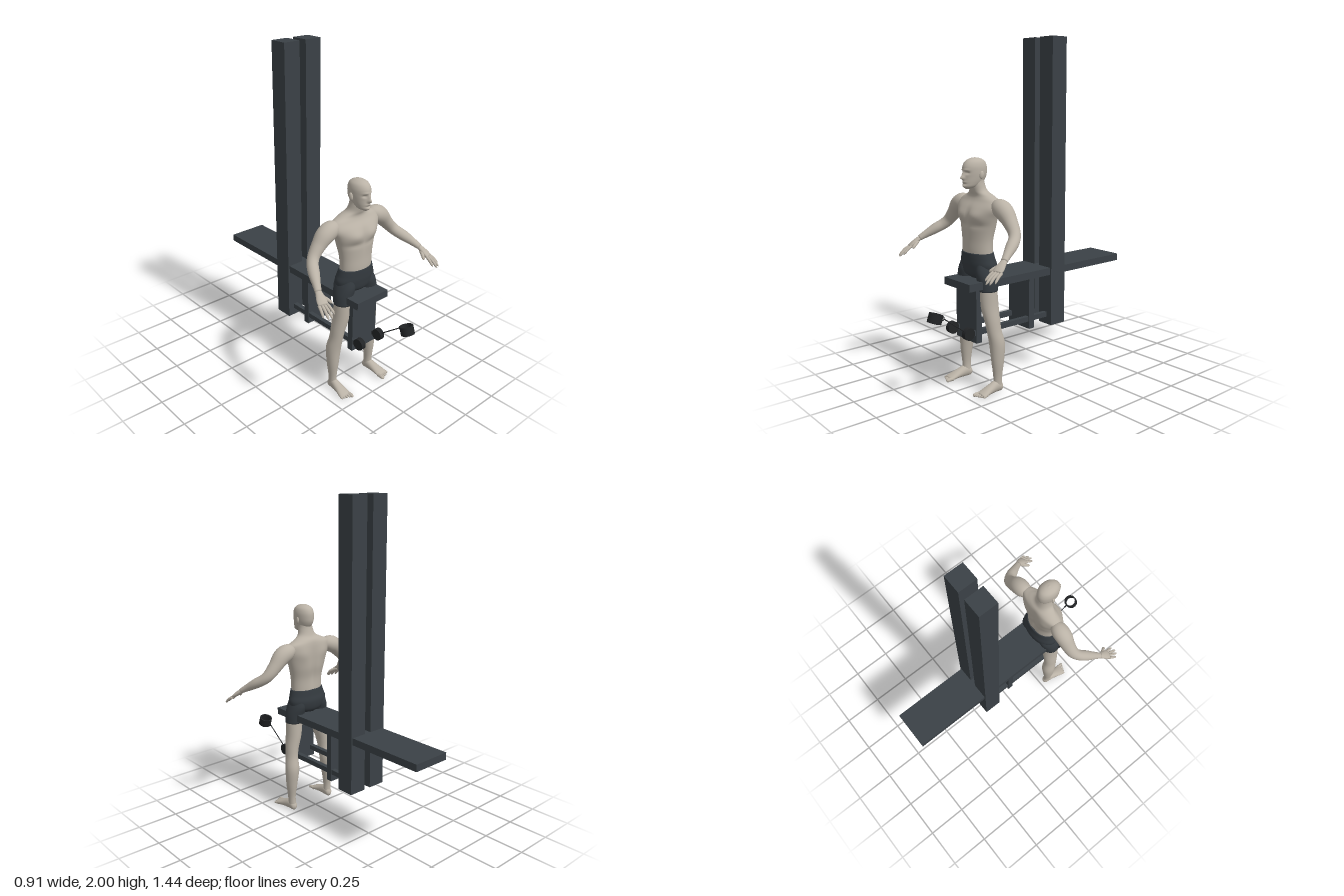
import * as THREE from 'three';

const V = (x, y, z) => new THREE.Vector3(x, y, z);
const mat = (name, color, side = THREE.FrontSide) => {
  const m = new THREE.MeshStandardMaterial({ color, side });
  m.name = name;
  return m;
};

// Smooth closed loft through rows of [x, y, z, radiusU, radiusV].
// ref is the rough direction of U, dir an optional fixed axis, tweak(p) reshapes each point.
function loft(rows, { ref = V(1, 0, 0), dir = null, seg = 24, steps = 24, tweak = null } = {}) {
  const path = new THREE.CatmullRomCurve3(rows.map(r => V(r[0], r[1], r[2])), false, 'catmullrom', 0.5);
  const radii = new THREE.CatmullRomCurve3(rows.map(r => V(r[3], r[4], 0)), false, 'catmullrom', 0.5);
  const pos = [], index = [];
  const put = p => { if (tweak) tweak(p); pos.push(p.x, p.y, p.z); };
  for (let i = 0; i <= steps; i++) {
    const t = i / steps, c = path.getPoint(t), r = radii.getPoint(t);
    const d = dir || path.getTangent(t);
    const u = ref.clone().addScaledVector(d, -ref.dot(d)).normalize();
    const v = u.clone().cross(d);
    for (let j = 0; j < seg; j++) {
      const a = j / seg * Math.PI * 2;
      put(c.clone().addScaledVector(u, r.x * Math.cos(a)).addScaledVector(v, r.y * Math.sin(a)));
      if (i < steps) {
        const k = i * seg, n = (j + 1) % seg;
        index.push(k + j, k + seg + j, k + n, k + n, k + seg + j, k + seg + n);
      }
    }
  }
  put(path.getPoint(0));
  put(path.getPoint(1));
  const e0 = (steps + 1) * seg, top = steps * seg;
  for (let j = 0; j < seg; j++) {
    const n = (j + 1) % seg;
    index.push(e0, j, n, e0 + 1, top + n, top + j);
  }
  const g = new THREE.BufferGeometry();
  g.setAttribute('position', new THREE.Float32BufferAttribute(pos, 3));
  g.setIndex(index);
  g.computeVertexNormals();
  return g;
}

const bump = (p, x, y, sx, sy) =>
  Math.exp(-(((Math.abs(p.x) - x) / sx) ** 2) - ((p.y - y) / sy) ** 2);

// Chest, belly and spine relief
function torsoRelief(p) {
  if (p.z > 0.33) {
    p.z += 0.014 * bump(p, 0.065, 1.01, 0.05, 0.035) - 0.006 * bump(p, 0, 0.99, 0.012, 0.07)
      - 0.005 * bump(p, 0.06, 0.955, 0.06, 0.015);
  } else if (p.z < 0.31) {
    p.z += 0.012 * bump(p, 0, 0.92, 0.02, 0.13) - 0.008 * bump(p, 0.08, 1.03, 0.04, 0.05);
  }
}

// Nose, eye sockets, brow, lips and chin
function faceRelief(p) {
  if (p.z < 0.36) return;
  p.z += 0.022 * bump(p, 0, 1.217, 0.009, 0.011) + 0.011 * bump(p, 0, 1.236, 0.007, 0.016)
    - 0.009 * bump(p, 0.021, 1.245, 0.012, 0.008) + 0.004 * bump(p, 0.018, 1.261, 0.016, 0.006)
    + 0.005 * bump(p, 0, 1.195, 0.015, 0.005) - 0.004 * bump(p, 0, 1.183, 0.016, 0.004)
    + 0.006 * bump(p, 0, 1.17, 0.016, 0.008);
}

export function createModel() {
  const root = new THREE.Group();
  const skin = mat('skin', 0xbab2a6);
  const cloth = mat('dark cloth', 0x343a3f);
  const beam = mat('dark beam', 0x3b4146);
  const iron = mat('black iron', 0x222426);
  const up = V(0, 1, 0);

  const add = (parent, name, geo, material, x = 0, y = 0, z = 0) => {
    const m = new THREE.Mesh(geo, material);
    m.name = name;
    m.position.set(x, y, z);
    parent.add(m);
    return m;
  };
  const box = (name, x0, x1, y0, y1, z0, z1) => add(apparatus, name,
    new THREE.BoxGeometry(x1 - x0, y1 - y0, z1 - z0), beam, (x0 + x1) / 2, (y0 + y1) / 2, (z0 + z1) / 2);

  // Bench, boards, posts and rails
  const apparatus = new THREE.Group();
  apparatus.name = 'apparatus';
  root.add(apparatus);
  box('benchPlank', -0.12, 0.12, 0.602, 0.645, -0.72, 0.475);
  box('frontBoard', -0.095, 0.095, 0.29, 0.603, 0.375, 0.412);
  box('middleBoard', -0.095, 0.095, 0.29, 0.603, -0.015, 0.022);
  for (const s of [-1, 1]) {
    const side = s > 0 ? 'left' : 'right';
    const [a, b] = s > 0 ? [0.022, 0.13] : [-0.13, -0.022];
    box(side + 'Post', a, b, 0.29, 2, -0.232, -0.122);
    box(side + 'Rail', s * 0.077 - 0.014, s * 0.077 + 0.014, 0.335, 0.365, -0.13, 0.45);
    add(apparatus, side + 'RailWheel', new THREE.CylinderGeometry(0.035, 0.035, 0.03, 28).rotateZ(Math.PI / 2),
      iron, s * 0.077, 0.352, 0.455);
  }

  // Cable with its open cuff
  const restraint = new THREE.Group();
  restraint.name = 'cableAndCuff';
  root.add(restraint);
  add(restraint, 'cable', new THREE.TubeGeometry(
    new THREE.LineCurve3(V(0.077, 0.355, 0.46), V(0.077, 0.474, 0.617)), 1, 0.003, 8), iron);
  add(restraint, 'cableEye', new THREE.TorusGeometry(0.011, 0.003, 8, 20).rotateY(Math.PI / 2), iron, 0.077, 0.478, 0.626);
  const ring = new THREE.Shape().absarc(0, 0, 0.04, 0, Math.PI * 2);
  ring.holes.push(new THREE.Path().absarc(0, 0, 0.032, 0, Math.PI * 2, true));
  const cuff = add(restraint, 'cuff', new THREE.ExtrudeGeometry(ring,
    { depth: 0.05, bevelEnabled: false, curveSegments: 20 }).translate(0, 0, -0.025).rotateX(-Math.PI / 2),
  iron, 0.078, 0.488, 0.673);
  cuff.rotation.x = -0.33;

  // Figure
  const figure = new THREE.Group();
  figure.name = 'figure';
  root.add(figure);
  add(figure, 'torso', loft([
    [0, 0.74, 0.325, 0.105, 0.066], [0, 0.8, 0.328, 0.107, 0.07], [0, 0.87, 0.327, 0.112, 0.07],
    [0, 0.94, 0.322, 0.128, 0.077], [0, 1.0, 0.322, 0.148, 0.079], [0, 1.05, 0.316, 0.17, 0.072],
    [0, 1.09, 0.305, 0.157, 0.058], [0, 1.115, 0.305, 0.105, 0.051], [0, 1.14, 0.318, 0.06, 0.046],
    [0, 1.18, 0.33, 0.046, 0.045], [0, 1.22, 0.335, 0.044, 0.044],
  ], { dir: up, seg: 56, steps: 60, tweak: torsoRelief }), skin);
  add(figure, 'head', loft([
    [0, 1.155, 0.388, 0.012, 0.016], [0, 1.168, 0.372, 0.032, 0.045], [0, 1.19, 0.355, 0.043, 0.064],
    [0, 1.22, 0.345, 0.05, 0.073], [0, 1.25, 0.343, 0.053, 0.076], [0, 1.28, 0.343, 0.052, 0.074],
    [0, 1.305, 0.342, 0.043, 0.06], [0, 1.32, 0.342, 0.024, 0.035], [0, 1.326, 0.342, 0.003, 0.004],
  ], { dir: up, seg: 80, steps: 64, tweak: faceRelief }), skin);
  add(figure, 'shortsSeat', loft([
    [0, 0.642, 0.318, 0.04, 0.04], [0, 0.67, 0.32, 0.115, 0.07], [0, 0.72, 0.32, 0.134, 0.08],
    [0, 0.76, 0.325, 0.123, 0.077], [0, 0.795, 0.328, 0.112, 0.074],
  ], { dir: up, seg: 48, steps: 28 }), cloth);

  for (const s of [-1, 1]) {
    const side = s > 0 ? 'left' : 'right';
    const limb = (name, rows, material = skin, opt = {}) => add(figure, side + name,
      loft(rows.map(([x, ...r]) => [s * x, ...r]), opt), material);
    // Tapered digit from base a to tip b, bowed up by lift
    const digit = (name, a, b, r, lift) => {
      const at = (t, k) => [...[0, 1, 2].map(i => a[i] + (b[i] - a[i]) * t + (i === 1 ? lift * 4 * t * (1 - t) : 0)), r * k, r * k];
      limb(name, [at(0, 1), at(0.5, 0.95), at(0.85, 0.8), at(1, 0.15)], skin,
        { seg: 10, steps: 12, tweak: p => { p.y = Math.max(p.y, 0); } });
    };

    const ear = add(figure, side + 'Ear', new THREE.SphereGeometry(1, 16, 12), skin, s * 0.055, 1.232, 0.336);
    ear.scale.set(0.008, 0.022, 0.013);
    ear.rotation.set(-0.15, s * -0.35, 0);

    limb('ShortsLeg', [
      [0.097, 0.585, 0.333, 0.057, 0.057], [0.092, 0.64, 0.33, 0.058, 0.062],
      [0.08, 0.69, 0.325, 0.056, 0.07], [0.07, 0.74, 0.322, 0.045, 0.062],
    ], cloth, { dir: up, seg: 32 });

    // Leg, foot and toes
    limb('Leg', [
      [0.148, 0.025, 0.305, 0.023, 0.028], [0.15, 0.09, 0.307, 0.023, 0.027], [0.149, 0.18, 0.306, 0.034, 0.038],
      [0.143, 0.28, 0.305, 0.043, 0.046], [0.135, 0.36, 0.319, 0.038, 0.044], [0.126, 0.42, 0.325, 0.04, 0.047],
      [0.108, 0.5, 0.33, 0.047, 0.054], [0.097, 0.6, 0.333, 0.052, 0.054], [0.09, 0.66, 0.33, 0.05, 0.054],
    ], skin, { dir: up, seg: 28, steps: 48 });
    limb('Foot', [
      [0.148, 0.024, 0.272, 0.006, 0.008], [0.148, 0.027, 0.285, 0.021, 0.026], [0.149, 0.034, 0.32, 0.025, 0.034],
      [0.153, 0.026, 0.37, 0.03, 0.025], [0.157, 0.016, 0.415, 0.036, 0.016], [0.157, 0.012, 0.438, 0.033, 0.01],
    ], skin, { dir: V(0, 0, 1), tweak: p => { p.y = Math.max(p.y, 0); } });
    for (let i = 0; i < 5; i++) {
      digit('Toe' + (i + 1), [0.132 + i * 0.013, 0.012, 0.42 - i * 0.003],
        [0.13 + i * 0.0155, 0.008, 0.468 - i * 0.007], i ? 0.0075 : 0.011, 0.003);
    }

    // Arm, palm and fingers
    limb('Arm', [
      [0.12, 1.06, 0.305, 0.03, 0.03], [0.165, 1.058, 0.3, 0.05, 0.05], [0.212, 1.036, 0.3, 0.052, 0.052],
      [0.258, 0.988, 0.3, 0.041, 0.043], [0.3, 0.94, 0.308, 0.034, 0.036], [0.328, 0.908, 0.332, 0.033, 0.032],
      [0.355, 0.88, 0.375, 0.032, 0.03], [0.382, 0.848, 0.425, 0.023, 0.022], [0.4, 0.825, 0.46, 0.019, 0.016],
    ], skin, { ref: V(s, 0.3, -0.4), seg: 24, steps: 48 });
    limb('Palm', [
      [0.396, 0.83, 0.45, 0.016, 0.013], [0.404, 0.814, 0.474, 0.022, 0.014],
      [0.412, 0.795, 0.5, 0.029, 0.013], [0.418, 0.78, 0.52, 0.027, 0.009],
    ], skin, { ref: V(s * 0.95, -0.15, -0.2), seg: 20, steps: 14 });
    const fingers = [
      [[0.397, 0.787, 0.512], [0.391, 0.74, 0.576]], [[0.411, 0.782, 0.517], [0.415, 0.728, 0.59]],
      [[0.424, 0.778, 0.516], [0.436, 0.729, 0.582]], [[0.437, 0.777, 0.507], [0.453, 0.735, 0.56]],
    ];
    fingers.forEach(([a, b], i) => digit('Finger' + (i + 1), a, b, 0.0085, 0.006));
    digit('Thumb', [0.395, 0.808, 0.475], [0.364, 0.775, 0.53], 0.0105, 0.002);
  }
  return root;
}
